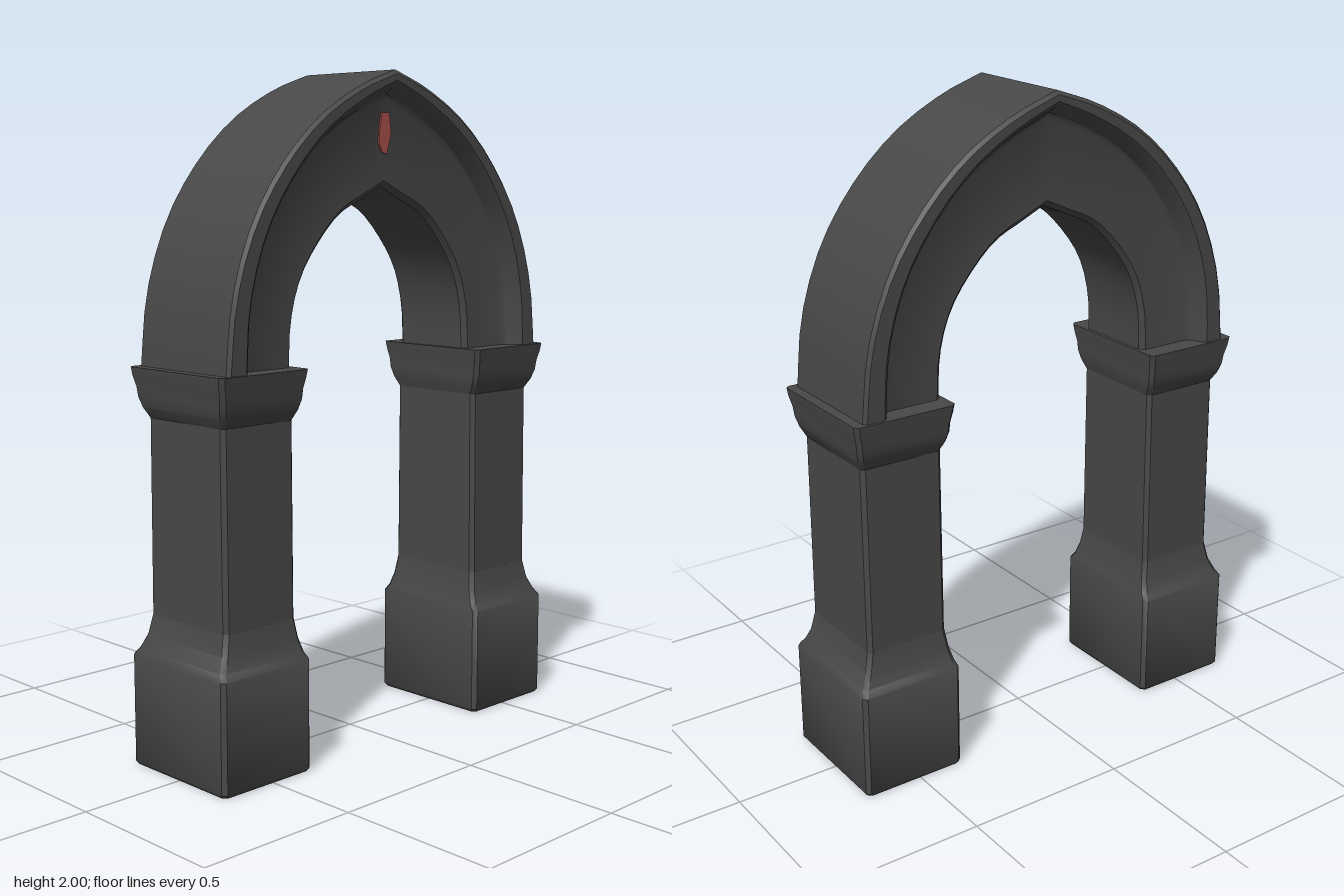
import * as THREE from 'three';
import { toCreasedNormals } from 'three/addons/utils/BufferGeometryUtils.js';

// Skin a list of equal-length rings (each a list of [x, y, z]), with optional flat end caps
function loft(rings, caps, crease) {
  const pos = [], index = [], n = rings[0].length;
  rings.forEach(r => r.forEach(p => pos.push(...p)));
  for (let j = 0; j < rings.length - 1; j++) {
    for (let i = 0; i < n; i++) {
      const a = j * n + i, b = j * n + (i + 1) % n;
      index.push(a, b, a + n, b, b + n, a + n);
    }
  }
  if (caps) {
    const top = (rings.length - 1) * n;
    for (let i = 1; i < n - 1; i++) {
      index.push(0, i + 1, i);
      index.push(top, top + i, top + i + 1);
    }
  }
  const g = new THREE.BufferGeometry();
  g.setAttribute('position', new THREE.Float32BufferAttribute(pos, 3));
  g.setIndex(index);
  return toCreasedNormals(g, crease);
}

// Rectangle with trimmed corners at height y, counter-clockwise from above
function block(y, cx, hx, hz, c = 0.012) {
  return [[hx, hz - c], [hx, c - hz], [hx - c, -hz], [c - hx, -hz],
    [-hx, c - hz], [-hx, hz - c], [c - hx, hz], [hx - c, hz]].map(([x, z]) => [cx + x, y, z]);
}

function curve(points) {
  return new THREE.CatmullRomCurve3(points.map(([x, y]) => new THREE.Vector3(x, y, 0)));
}

export function createModel() {
  const stone = new THREE.MeshStandardMaterial({ color: 0x484848 });
  stone.name = 'dark stone';
  const red = new THREE.MeshStandardMaterial({ color: 0xa8504a });
  red.name = 'red mark';
  const model = new THREE.Group();
  const add = (name, geometry, material, parent = model) => {
    const mesh = new THREE.Mesh(geometry, material);
    mesh.name = name;
    parent.add(mesh);
    return mesh;
  };

  // Pillar sections: [y, centre x, half width, half depth]
  const parts = {
    plinth: [[0, 0.52, 0.158, 0.198], [0.01, 0.52, 0.165, 0.205], [0.33, 0.52, 0.165, 0.205],
      [0.35, 0.518, 0.156, 0.19], [0.39, 0.513, 0.142, 0.176], [0.45, 0.511, 0.131, 0.167]],
    shaft: [[0.44, 0.511, 0.131, 0.167], [1.05, 0.511, 0.131, 0.163]],
    capital: [[1.02, 0.511, 0.131, 0.163], [1.05, 0.513, 0.143, 0.18], [1.08, 0.514, 0.15, 0.19],
      [1.11, 0.515, 0.152, 0.194], [1.14, 0.516, 0.159, 0.2], [1.165, 0.516, 0.162, 0.204]],
  };
  for (const side of [1, -1]) {
    const pillar = new THREE.Group();
    pillar.name = side > 0 ? 'leftPillar' : 'rightPillar';
    for (const [name, rows] of Object.entries(parts)) {
      const rings = rows.map(([y, cx, hx, hz]) => block(y, cx * side, hx, hz));
      add(name, loft(rings, true, 0.7), stone, pillar);
    }
    model.add(pillar);
  }

  // Pointed arch: outer and inner outlines of the left half, springing to peak
  const outer = curve([[0.648, 1.15], [0.622, 1.37], [0.55, 1.57], [0.44, 1.73],
    [0.3, 1.86], [0.14, 1.95], [0, 2]]);
  const inner = curve([[0.365, 1.15], [0.357, 1.29], [0.32, 1.41], [0.25, 1.51],
    [0.165, 1.59], [0.08, 1.63], [0, 1.667]]);

  // Moulded cross-section: raised outer rim, groove, then a flat inner band
  const section = (s) => {
    const w = THREE.MathUtils.lerp(0.27, 0.13, s); // rim width as a share of the arch
    return [[0, 0.185], [0.035, 0.195], [w - 0.04, 0.195], [w, 0.185],
      [w + 0.07, 0.148], [w + 0.12, 0.14], [0.95, 0.14], [1, 0.125]];
  };
  const steps = 16, half = [];
  for (let k = 0; k <= steps; k++) {
    const s = k / steps, o = outer.getPoint(s), i = inner.getPoint(s);
    const at = ([t, z], sign) => [o.x + (i.x - o.x) * t, o.y + (i.y - o.y) * t, z * sign];
    const profile = section(s);
    half.push([...profile.map(p => at(p, -1)), ...profile.map(p => at(p, 1)).reverse()]);
  }
  const mirrored = half.slice(0, -1).reverse().map(r => r.map(([x, y, z]) => [-x, y, z]));
  add('arch', loft([...half, ...mirrored], false, 0.55), stone);

  // Small painted mark on the front, below the peak
  const outline = [[-0.012, 1.88], [-0.022, 1.83], [-0.024, 1.79], [-0.01, 1.765], [0.008, 1.76],
    [0.016, 1.785], [0.026, 1.82], [0.018, 1.88]].map(([x, y]) => new THREE.Vector2(x, y));
  const mark = new THREE.ExtrudeGeometry(new THREE.Shape(outline), { depth: 0.006, bevelEnabled: false });
  add('keystoneMark', mark, red).position.z = 0.139;

  return model;
}
